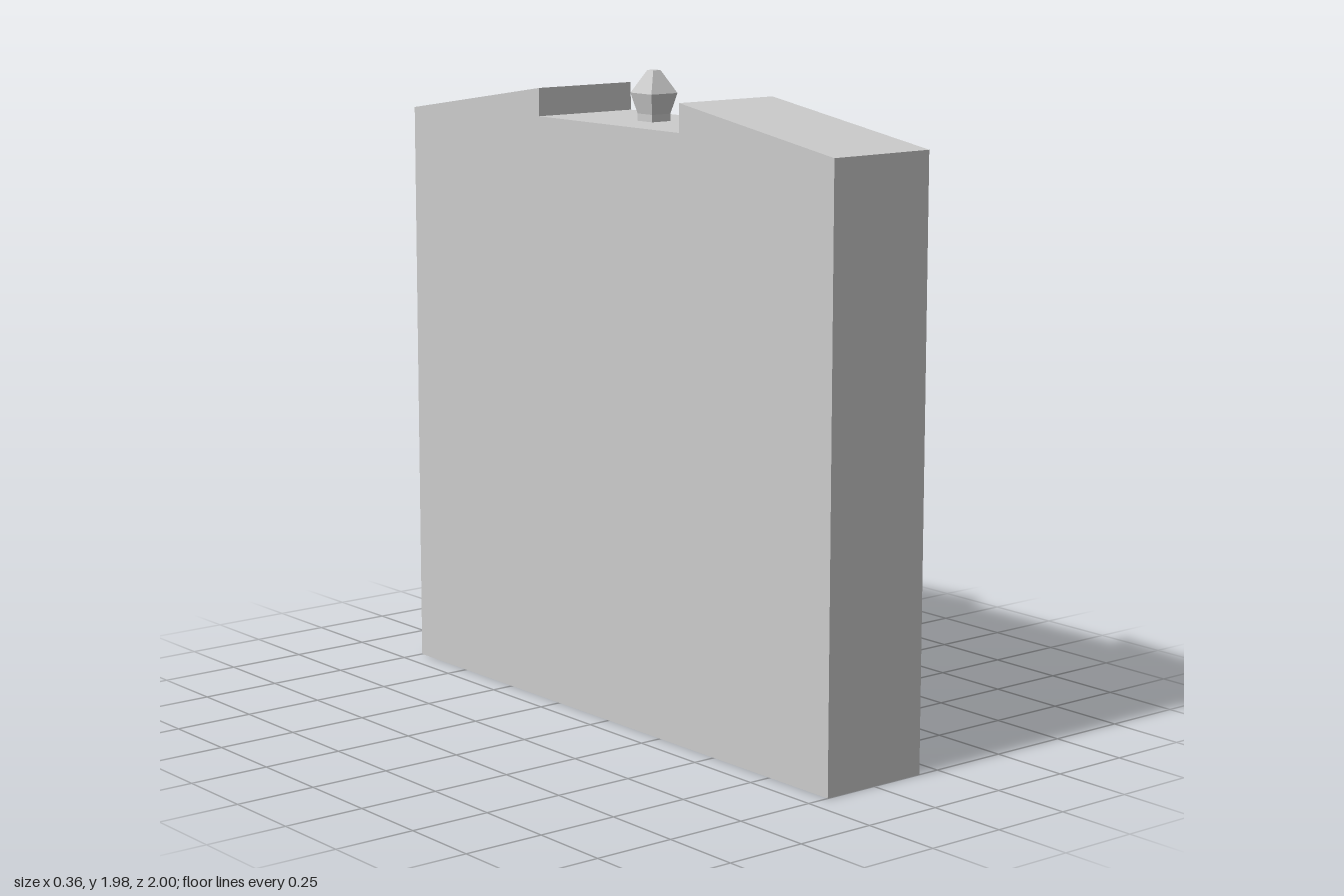
import * as THREE from 'three';

const HALF_DEPTH = 0.178;  // half thickness of the cabinet along x
const BACK = 0.115;        // thickness of the solid rear slab

// Side outline: two sloped shoulders with a flat notch between them
function outline() {
  return new THREE.Shape([
    [-1, 0], [1, 0], [1, 1.81], [0.335, 1.914], [0.335, 1.828],
    [-0.335, 1.828], [-0.335, 1.914], [-1, 1.81],
  ].map(([x, y]) => new THREE.Vector2(x, y)));
}

// Rectangular opening for one compartment
function opening(x0, x1, y0, y1) {
  const hole = new THREE.Path();
  hole.moveTo(x0, y0).lineTo(x0, y1).lineTo(x1, y1).lineTo(x1, y0).closePath();
  return hole;
}

export function createModel() {
  const model = new THREE.Group();
  model.name = 'shelfCabinet';
  const material = new THREE.MeshStandardMaterial({ color: 0xcccccc, flatShading: true });

  // Extrudes a side outline along x, starting at the given x
  const addSlab = (name, shape, x, depth) => {
    const geometry = new THREE.ExtrudeGeometry(shape, { depth, bevelEnabled: false });
    geometry.rotateY(Math.PI / 2);
    geometry.translate(x, 0, 0);
    const mesh = new THREE.Mesh(geometry, material);
    mesh.name = name;
    model.add(mesh);
  };

  // Closed rear panel
  addSlab('backPanel', outline(), -HALF_DEPTH, BACK);

  // Shelf frame: five rows of three compartments, open towards +x
  const frame = outline();
  const columns = [[-0.97, -0.362], [-0.302, 0.302], [0.362, 0.97]];
  for (let row = 0; row < 5; row++) {
    const y = 0.03 + row * 0.3615;
    for (const [x0, x1] of columns) frame.holes.push(opening(x0, x1, y, y + 0.305));
  }
  addSlab('shelfFrame', frame, -HALF_DEPTH + BACK, 2 * HALF_DEPTH - BACK);

  // Four-sided finial; profile gives half widths and heights
  const profile = [[0.035, 1.828], [0.035, 1.85], [0.05, 1.912], [0.014, 1.98], [0, 1.98]]
    .map(([half, y]) => new THREE.Vector2(half * Math.SQRT2, y));
  const finial = new THREE.Mesh(new THREE.LatheGeometry(profile, 4), material);
  finial.name = 'finial';
  finial.rotation.y = Math.PI / 4;
  model.add(finial);

  return model;
}
